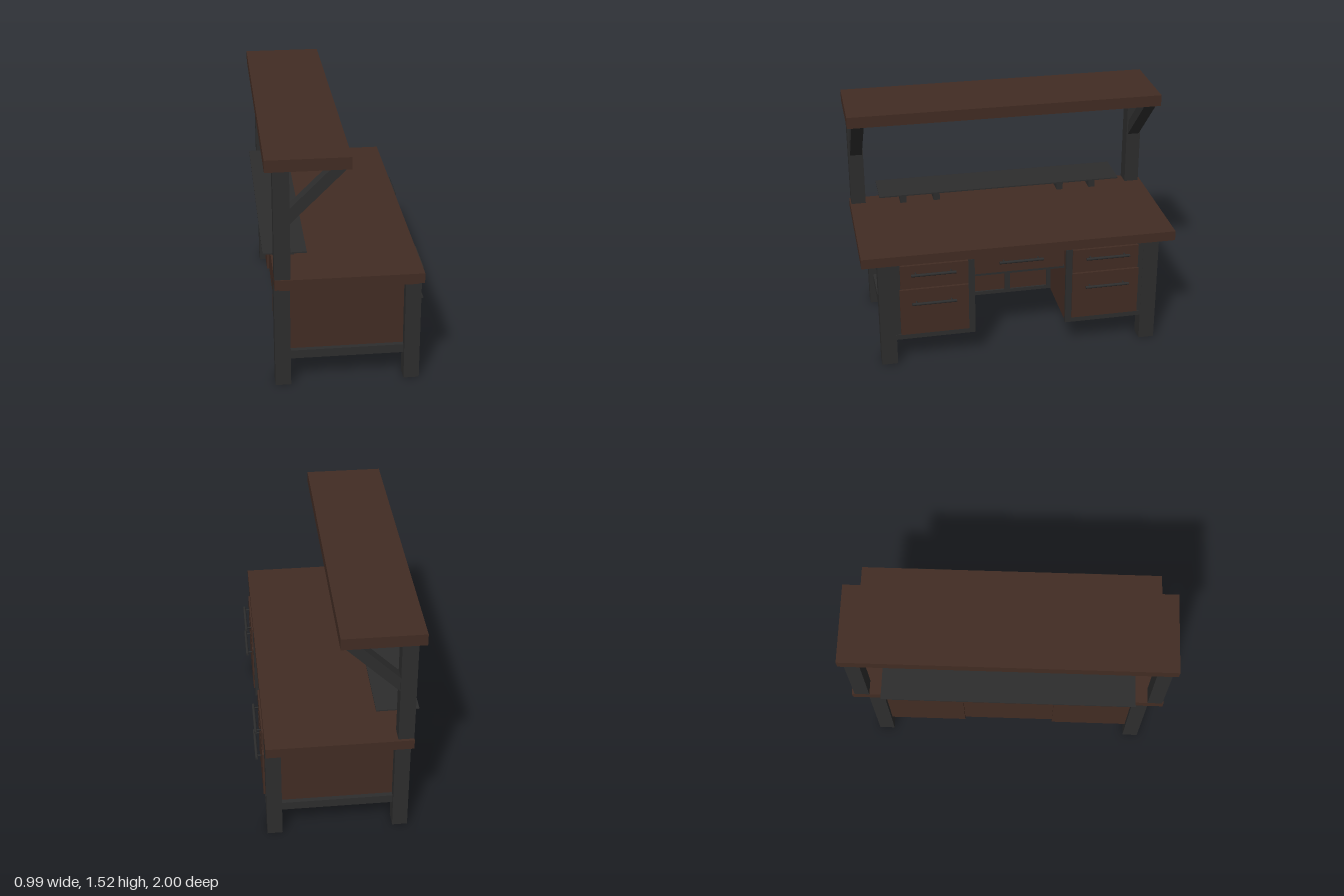
import * as THREE from 'three';

const wood = new THREE.MeshStandardMaterial({ color: 0x422c23 });
wood.name = 'darkWood';
const metal = new THREE.MeshStandardMaterial({ color: 0x2d2d2d });
metal.name = 'charcoalMetal';

export function createModel() {
  const model = new THREE.Group();
  model.name = 'workDesk';

  const add = (name, geometry, material, parent = model) => {
    const mesh = new THREE.Mesh(geometry, material);
    mesh.name = name;
    parent.add(mesh);
    return mesh;
  };

  // Box given by its limits on each axis
  const box = (name, material, [x0, x1], [y0, y1], [z0, z1], parent) => {
    const g = new THREE.BoxGeometry(x1 - x0, y1 - y0, Math.abs(z1 - z0));
    g.translate((x0 + x1) / 2, (y0 + y1) / 2, (z0 + z1) / 2);
    return add(name, g, material, parent);
  };

  // Bar handle on two round pins
  const handle = (name, x, y, z, length, parent) => {
    const group = new THREE.Group();
    group.name = name;
    const bar = add('handleBar', new THREE.CylinderGeometry(0.009, 0.009, length, 12), metal, group);
    bar.rotation.x = Math.PI / 2;
    bar.position.x = 0.04;
    for (const s of [-1, 1]) {
      const pin = add('handlePin', new THREE.CylinderGeometry(0.005, 0.005, 0.05, 8), metal, group);
      pin.rotation.z = Math.PI / 2;
      pin.position.set(0.015, 0, s * (length / 2 - 0.03));
    }
    group.position.set(x, y, z);
    (parent || model).add(group);
  };

  // Worktop, under-board and overhead shelf
  box('worktop', wood, [-0.44, 0.44], [0.703, 0.766], [-1, 0.99]);
  box('underBoard', wood, [-0.41, 0.405], [0.685, 0.703], [-0.975, 0.965]);
  box('overheadShelf', wood, [-0.485, 0.005], [1.447, 1.52], [-1, 1]);

  // Diagonal brace profile
  const braceShape = new THREE.Shape([
    [-0.35, 1.11], [-0.01, 1.447], [-0.105, 1.447], [-0.35, 1.205],
  ].map(([x, y]) => new THREE.Vector2(x, y)));

  for (const s of [-1, 1]) {
    const side = new THREE.Group();
    side.name = s > 0 ? 'leftSide' : 'rightSide';
    model.add(side);
    const part = (name, mat, x, y, z) => box(name, mat, x, y, [s * z[0], s * z[1]], side);

    // Legs, shelf post and brace
    part('backLeg', metal, [-0.44, -0.345], [0, 0.703], [0.793, 0.893]);
    part('frontLeg', metal, [0.345, 0.44], [0, 0.703], [0.793, 0.893]);
    part('shelfPost', metal, [-0.44, -0.345], [0.766, 1.447], [0.888, 0.982]);
    const brace = add('shelfBrace', new THREE.ExtrudeGeometry(braceShape, { depth: 0.076, bevelEnabled: false }), metal, side);
    brace.position.z = s * 0.934 - 0.038;
    part('sideRail', metal, [-0.35, 0.35], [0.165, 0.22], [0.8, 0.865]);

    // Pedestal with its metal face frame
    part('pedestal', wood, [-0.415, 0.43], [0.18, 0.69], [0.295, 0.835]);
    part('innerStile', metal, [0.42, 0.442], [0.178, 0.703], [0.292, 0.332]);
    part('outerStile', metal, [0.42, 0.438], [0.178, 0.703], [0.752, 0.8]);
    part('bottomRail', metal, [0.42, 0.442], [0.176, 0.21], [0.292, 0.8]);
    part('drawerDivider', wood, [0.42, 0.44], [0.535, 0.562], [0.332, 0.76]);

    // Drawers
    part('upperDrawer', wood, [0.42, 0.45], [0.564, 0.7], [0.333, 0.758]);
    part('lowerDrawer', wood, [0.42, 0.45], [0.212, 0.532], [0.333, 0.765]);
    handle('upperHandle', 0.442, 0.648, s * 0.553, 0.28, side);
    handle('lowerHandle', 0.442, 0.445, s * 0.553, 0.28, side);

    // Cupboard door in the knee space
    part('cupboardDoor', wood, [-0.02, -0.006], [0.205, 0.55], [0.018, 0.27]);
    part('cupboardSideStile', metal, [-0.02, 0.004], [0.185, 0.56], [0.267, 0.296]);

    // Feet of the raised stand
    for (const z of [0.42, 0.642]) {
      part('standFoot', metal, [-0.43, -0.3], [0.766, 0.828], [z - 0.021, z + 0.021]);
    }
  }

  // Cupboard at the back of the knee space
  box('cupboard', wood, [-0.4, -0.015], [0.187, 0.69], [-0.296, 0.296]);
  box('cupboardMiddleStile', metal, [-0.02, 0.004], [0.2, 0.56], [-0.018, 0.018]);
  box('cupboardBottomRail', metal, [-0.02, 0.004], [0.183, 0.208], [-0.296, 0.296]);

  // Centre drawer, set back under the worktop
  box('centreDrawerBox', wood, [-0.02, 0.37], [0.555, 0.69], [-0.294, 0.294]);
  box('centreDrawerFront', wood, [0.36, 0.385], [0.562, 0.7], [-0.285, 0.285]);
  box('centreDrawerRail', metal, [0.35, 0.382], [0.546, 0.562], [-0.294, 0.294]);
  handle('centreHandle', 0.378, 0.645, -0.01, 0.28);

  // Raised stand: a plate tapering towards its underside
  const plate = new THREE.BoxGeometry(0.26, 0.026, 1.61).toNonIndexed();
  const p = plate.attributes.position;
  for (let i = 0; i < p.count; i++) {
    if (p.getY(i) < 0) p.setXYZ(i, p.getX(i) * 0.68, p.getY(i), p.getZ(i) * 0.94);
  }
  plate.computeVertexNormals();
  plate.translate(-0.365, 0.838, 0);
  add('standPlate', plate, metal);
  box('standPlateEdge', metal, [-0.495, -0.235], [0.845, 0.853], [-0.805, 0.805]);
  const rod = add('standRod', new THREE.CylinderGeometry(0.006, 0.006, 1.14, 10), metal);
  rod.rotation.x = Math.PI / 2;
  rod.position.set(-0.35, 0.798, 0);

  return model;
}
